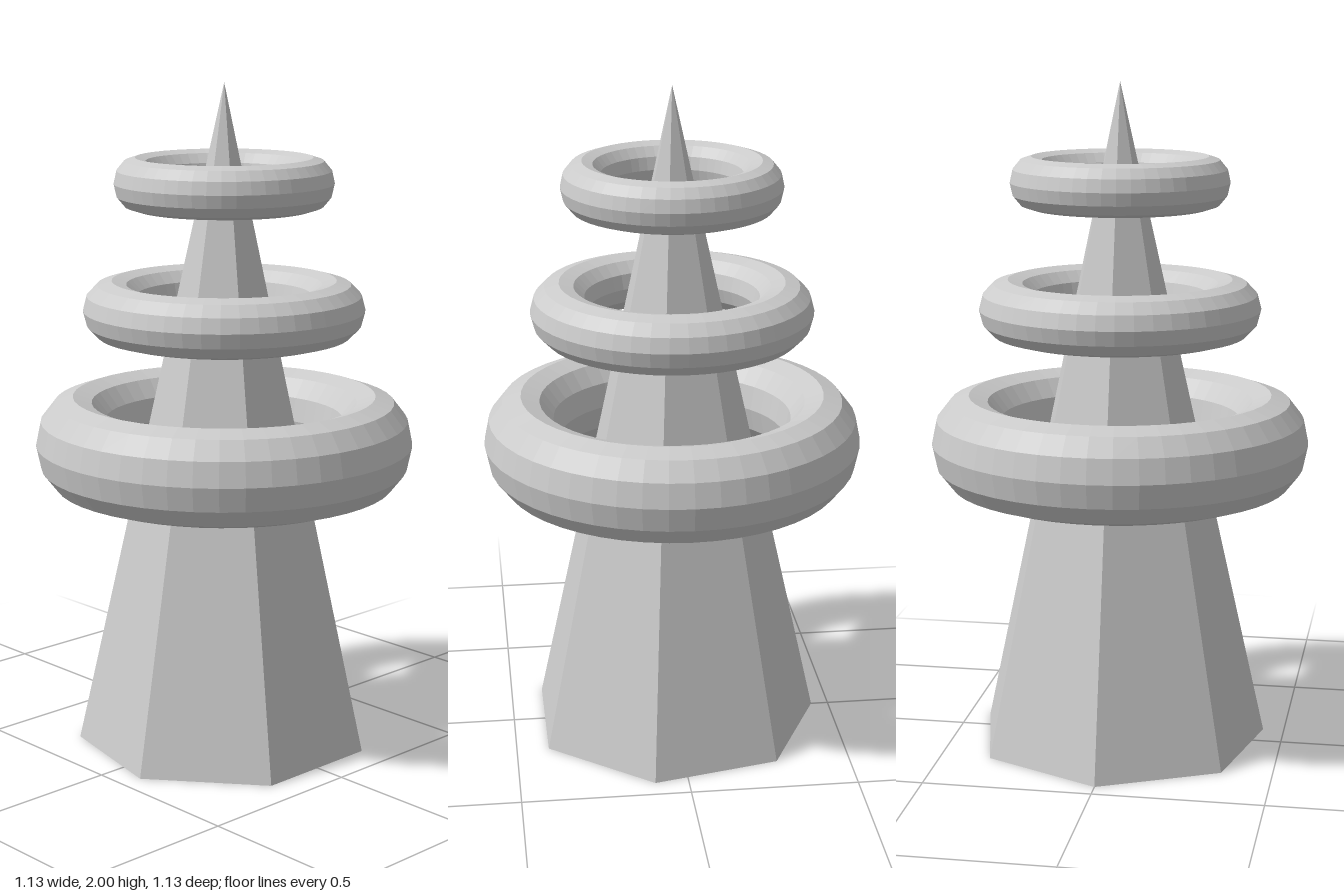
import * as THREE from 'three';

const material = new THREE.MeshStandardMaterial({ color: 0xcccccc, flatShading: true });

// Horizontal ring: y centre, main radius, tube half width and tube half height
function makeRing(name, y, radius, halfWidth, halfHeight) {
  const geometry = new THREE.TorusGeometry(radius, halfWidth, 12, 48);
  geometry.rotateX(-Math.PI / 2);
  geometry.scale(1, halfHeight / halfWidth, 1);
  const ring = new THREE.Mesh(geometry, material);
  ring.name = name;
  ring.position.y = y;
  return ring;
}

export function createModel() {
  const model = new THREE.Group();
  model.name = 'ringedSpire';

  // Seven-sided spire with one corner pointing to the back
  const spire = new THREE.Mesh(new THREE.ConeGeometry(0.447, 2, 7), material);
  spire.name = 'spire';
  spire.position.y = 1;
  spire.rotation.y = Math.PI;
  model.add(spire);

  // Floating rings, largest at the bottom
  model.add(
    makeRing('lowerRing', 0.931, 0.453, 0.112, 0.144),
    makeRing('middleRing', 1.334, 0.333, 0.086, 0.088),
    makeRing('upperRing', 1.708, 0.261, 0.063, 0.076),
  );
  return model;
}
